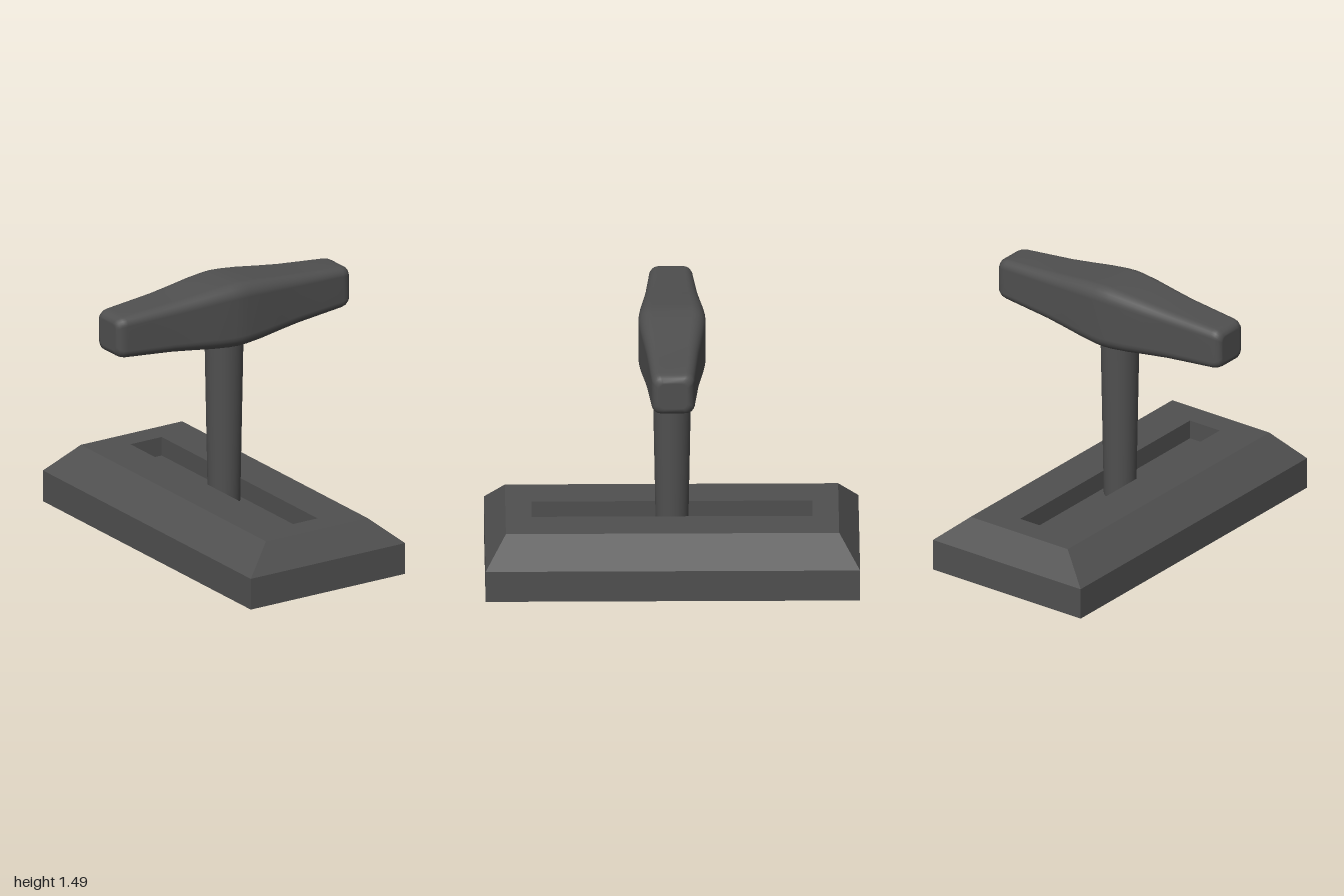
import * as THREE from 'three';

// Skin a list of closed rings; the first and last ring collapse to a point.
function loft(rings) {
  const n = rings[0].length, last = rings.length - 2, index = [];
  for (let i = 0; i <= last; i++) {
    for (let j = 0; j < n; j++) {
      const k = (j + 1) % n;
      const a = i * n + j, b = i * n + k, c = b + n, d = a + n;
      if (i > 0) index.push(a, b, c);
      if (i < last) index.push(a, c, d);
    }
  }
  const geometry = new THREE.BufferGeometry();
  geometry.setAttribute('position', new THREE.Float32BufferAttribute(rings.flat(2), 3));
  geometry.setIndex(index);
  geometry.computeVertexNormals();
  return geometry;
}

// Horizontal rectangle at height y
const rectRing = ([hx, hz, y]) =>
  [[hx, y, hz], [hx, y, -hz], [-hx, y, -hz], [-hx, y, hz]];

// Rounded square across the x axis
function roundedRing([x, half]) {
  const r = half * 0.4, ring = [], steps = 6;
  for (let q = 0; q < 4; q++) {
    const mid = (q + 0.5) * Math.PI / 2;
    for (let s = 0; s <= steps; s++) {
      const t = (q + s / steps) * Math.PI / 2;
      ring.push([
        x,
        Math.sign(Math.cos(mid)) * (half - r) + r * Math.cos(t),
        Math.sign(Math.sin(mid)) * (half - r) + r * Math.sin(t),
      ]);
    }
  }
  return ring;
}

export function createModel() {
  const group = new THREE.Group();
  const dark = { color: 0x505050 };
  const smooth = new THREE.MeshStandardMaterial(dark);
  const flat = new THREE.MeshStandardMaterial({ ...dark, flatShading: true });

  const add = (name, geometry, material, y = 0) => {
    const mesh = new THREE.Mesh(geometry, material);
    mesh.name = name;
    mesh.position.y = y;
    group.add(mesh);
  };

  // Bevelled base with a long recessed slot
  const baseRings = [
    [0, 0, 0], [0.495, 1, 0], [0.495, 1, 0.175], [0.325, 0.89, 0.32],
    [0.1, 0.75, 0.32], [0.1, 0.75, 0.215], [0, 0, 0.215],
  ].map(rectRing);
  add('base', loft(baseRings).toNonIndexed(), flat);

  // Tapered lever rising out of the slot
  add('lever', new THREE.CylinderGeometry(0.104, 0.087, 0.91, 32), smooth, 0.67);

  // Handle: widest in the middle, tapering to rounded ends
  const half = [
    [0, 0.18], [0.05, 0.178], [0.15, 0.169], [0.27, 0.154], [0.4, 0.139],
    [0.55, 0.127], [0.69, 0.116], [0.715, 0.111], [0.735, 0.1],
    [0.745, 0.083], [0.745, 0.072], [0.745, 0],
  ];
  const mirrored = half.slice(1).reverse().map(([x, h]) => [-x, h]);
  add('handle', loft([...mirrored, ...half].map(roundedRing)), smooth, 1.308);

  return group;
}
